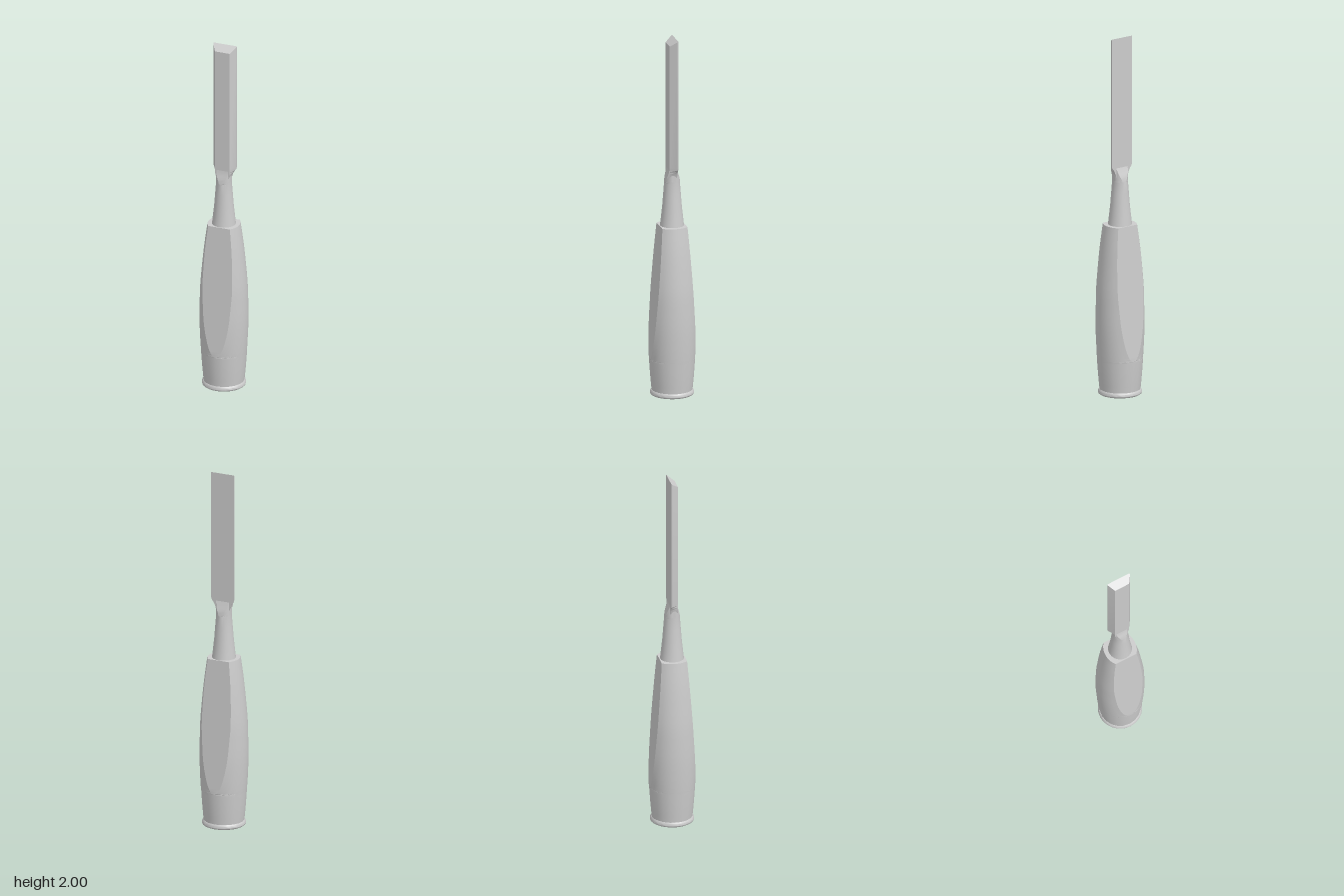
import * as THREE from 'three';
import { toCreasedNormals } from 'three/addons/utils/BufferGeometryUtils.js';

const material = new THREE.MeshStandardMaterial({ color: 0xcccccc });

// Piecewise-linear lookup in [[y, value], ...]
function lerpTable(table, y) {
  for (let i = 1; i < table.length; i++) {
    const [y0, v0] = table[i - 1], [y1, v1] = table[i];
    if (y <= y1) return v0 + (v1 - v0) * Math.max(0, (y - y0) / (y1 - y0));
  }
  return table[table.length - 1][1];
}

// Smooth curve through [[y, value], ...]
function smoothProfile(points) {
  const curve = new THREE.SplineCurve(points.map(p => new THREE.Vector2(p[0], p[1])));
  return curve.getPoints(120).map(p => [p.x, p.y]);
}

// Skin a stack of closed convex rings, each running from +x towards +z, with end caps
function loft(rings, crease) {
  const n = rings[0].length, pos = [], index = [];
  rings.forEach(ring => ring.forEach(p => pos.push(...p)));
  for (let r = 0; r < rings.length - 1; r++) {
    for (let i = 0; i < n; i++) {
      const p = r * n + i, q = r * n + (i + 1) % n;
      index.push(p, p + n, q, q, p + n, q + n);
    }
  }
  const cap = (r, top) => {
    const c = pos.length / 3;
    pos.push(...[0, 1, 2].map(k => rings[r].reduce((s, p) => s + p[k], 0) / n));
    for (let i = 0; i < n; i++) {
      const p = r * n + i, q = r * n + (i + 1) % n;
      index.push(c, ...(top ? [q, p] : [p, q]));
    }
  };
  cap(0, false);
  cap(rings.length - 1, true);
  const geo = new THREE.BufferGeometry();
  geo.setAttribute('position', new THREE.Float32BufferAttribute(pos, 3));
  geo.setIndex(index);
  return toCreasedNormals(geo, crease);
}

// Ellipse of half-axes a, b, cut flat at z = front and z = -back
function cutEllipse(y, a, b, front, back) {
  const t1 = Math.asin(Math.min(1, front / b)), t0 = -Math.asin(Math.min(1, back / b));
  const ring = [], steps = 10;
  for (let side = 0; side < 2; side++) {
    for (let i = 0; i <= steps; i++) {
      const f = i / steps;
      const t = side ? t1 + (t0 - t1) * f : t0 + (t1 - t0) * f;
      ring.push([(side ? -a : a) * Math.cos(t), y, b * Math.sin(t)]);
    }
  }
  return ring;
}

function add(group, name, geometry) {
  const mesh = new THREE.Mesh(geometry, material);
  mesh.name = name;
  group.add(mesh);
}

export function createModel() {
  const group = new THREE.Group();
  group.name = 'woodChisel';

  // Swelling grip with two tapering flats
  const grip = smoothProfile([[0.025, 0.111], [0.1, 0.118], [0.2, 0.125], [0.3, 0.13],
    [0.4, 0.1325], [0.5, 0.131], [0.6, 0.127], [0.8, 0.108], [0.95, 0.088]]);
  const gripYs = [0.025, 0.06, 0.1, 0.15, 0.19, 0.2, 0.205, 0.212, 0.222, 0.235, 0.255, 0.28];
  for (let i = 1; i <= 14; i++) gripYs.push(0.28 + 0.67 * i / 14);
  add(group, 'handle', loft(gripYs.map(y => {
    const r = lerpTable(grip, y);
    const depth = r * lerpTable([[0.5, 1], [0.95, 1.14]], y);
    const flat = y < 0.2 ? 1 : 0.125 - (y - 0.2) * 0.0733;
    return cutEllipse(y, r, depth, flat, flat);
  }), 0.36));

  // Butt cap with a rounded rim
  const cap = [[0, 0], [0.112, 0], [0.118, 0.004], [0.12, 0.011], [0.118, 0.019], [0.112, 0.027], [0, 0.03]];
  add(group, 'buttCap', toCreasedNormals(
    new THREE.LatheGeometry(cap.map(p => new THREE.Vector2(...p)), 40), 0.75));

  // Tapered round shank, scooped down to the blade thickness
  const radius = [[0.95, 0.065], [1.06, 0.053], [1.19, 0.043], [1.28, 0.042]];
  const scoopFront = [[1.19, 0.043], [1.22, 0.036], [1.25, 0.027], [1.28, 0.022]];
  const scoopBack = [[1.19, 0.043], [1.22, 0.036], [1.25, 0.025], [1.28, 0.015]];
  const shankYs = [0.95, 1.0, 1.06, 1.13, 1.19, 1.195, 1.205, 1.22, 1.235, 1.25, 1.265, 1.28];
  add(group, 'shank', loft(shankYs.map(y => {
    const r = lerpTable(radius, y);
    const cut = table => (y <= 1.19 ? 1 : lerpTable(table, y));
    return cutEllipse(y, r, r, cut(scoopFront), cut(scoopBack));
  }), 0.5));

  // Bevel-edged blade: flared heel, straight body, ground tip
  const heel = [[1.2, 0.032], [1.225, 0.04], [1.245, 0.046], [1.26, 0.054], [1.272, 0.064], [1.285, 0.068]];
  const bladeRing = (y, w, slope) => {
    const inner = Math.min(w * 0.9, 0.043);
    const half = [[w, -0.018], [w, -0.013], [inner, 0.024]];
    const outline = [...half, ...half.map(([x, z]) => [-x, z]).reverse()];
    return outline.map(([x, z]) => [x, y - slope * (z + 0.018), z]);
  };
  add(group, 'blade', loft([...heel.map(([y, w]) => bladeRing(y, w, 0)),
    bladeRing(2, 0.068, 0.75)], 0.3));

  return group;
}
